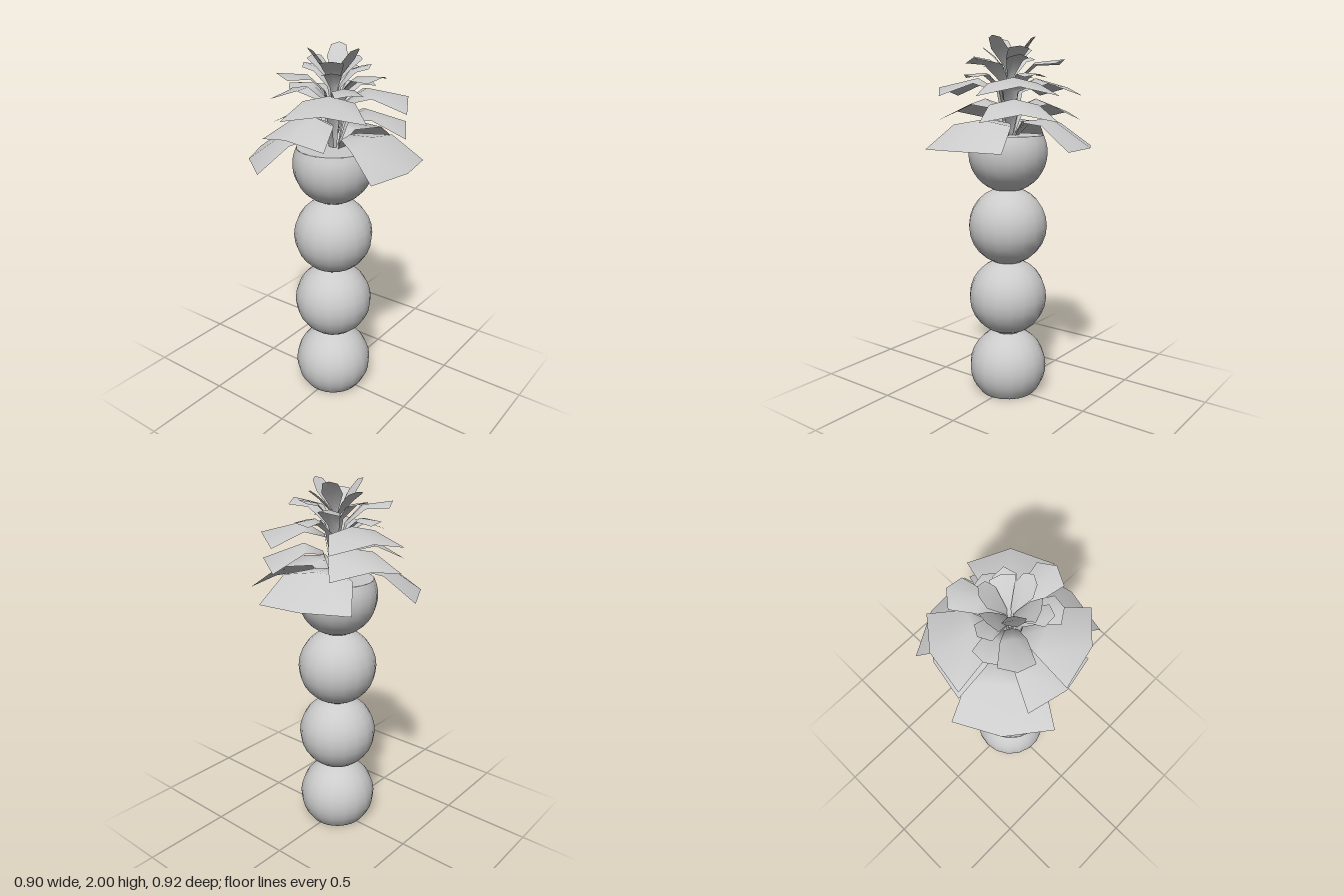
import * as THREE from 'three';

const material = new THREE.MeshStandardMaterial({ color: 0xcccccc, side: THREE.DoubleSide });

// One ball of the trunk, with flat cuts at the heights lo and hi
function ball(y, lo, hi) {
  const R = 0.22;
  const a0 = Math.asin(Math.max(-1, (lo - y) / R));
  const a1 = Math.asin(Math.min(1, (hi - y) / R));
  const profile = [];
  for (let i = 0; i <= 10; i++) {
    const a = a0 + (a1 - a0) * i / 10;
    profile.push(new THREE.Vector2(R * Math.cos(a), y + R * Math.sin(a)));
  }
  return new THREE.LatheGeometry(profile, 18);
}

// Arched leaf pointing to +x; rows are [reach, height, half width, edge drop, edge setback]
function leafGeometry(rows) {
  const pos = [], index = [];
  rows.forEach(([r, y, w, drop = 0, back = 0], i) => {
    pos.push(r - back, y - drop, w, r, y, 0, r - back, y - drop, -w);
    if (i === 0) return;
    const a = 3 * (i - 1), b = 3 * i;
    for (let k = 0; k < 2; k++) {
      index.push(a + k, b + k, b + k + 1, a + k, b + k + 1, a + k + 1);
    }
  });
  const g = new THREE.BufferGeometry();
  g.setAttribute('position', new THREE.Float32BufferAttribute(pos, 3));
  g.setIndex(index);
  g.computeVertexNormals();
  return g;
}

// Tiers from bottom to top: compass angles (0 = +x, 90 = +z) and leaf rows
const tiers = [
  { name: 'skirtLeaf', angles: [90, -17, 230], rows: [
    [0.03, 1.46, 0.02], [0.10, 1.56, 0.08, 0.01], [0.24, 1.57, 0.19, 0.03], [0.455, 1.42, 0.25, 0.005, 0.055]] },
  { name: 'lowerLeaf', angles: [182, 45, -66], rows: [
    [0.02, 1.47, 0.015], [0.07, 1.63, 0.04, 0.01], [0.17, 1.675, 0.13, 0.03], [0.385, 1.60, 0.20, 0.04, 0.05]] },
  { name: 'middleLeaf', angles: [153, 46, -67], rows: [
    [0.02, 1.48, 0.015], [0.06, 1.72, 0.04, 0.01], [0.17, 1.785, 0.13, 0.03], [0.39, 1.735, 0.21, 0.045, 0.055]] },
  { name: 'innerLeaf', angles: [253, 15, 125], rows: [
    [0.02, 1.55, 0.012], [0.05, 1.74, 0.03, 0.01], [0.13, 1.81, 0.06, 0.01], [0.25, 1.80, 0.075, 0.015, 0.03]] },
  { name: 'upperLeaf', angles: [90, -25, 219], rows: [
    [0.015, 1.62, 0.01], [0.05, 1.78, 0.03, 0.01], [0.14, 1.865, 0.06, 0.015], [0.30, 1.88, 0.085, 0.025, 0.04]] },
  { name: 'crownLeaf', angles: [-90, 37, 148], rows: [
    [0.01, 1.66, 0.01], [0.03, 1.80, 0.02, 0.005], [0.10, 1.88, 0.045, 0.01], [0.20, 1.90, 0.055, 0.015, 0.035]] },
  { name: 'topLeaf', angles: [90, -26, 214], rows: [
    [0.005, 1.72, 0.008], [0.02, 1.84, 0.015], [0.085, 1.94, 0.055, 0.005], [0.145, 2.0, 0.04, 0.012, 0.02]] },
  { name: 'budLeaf', angles: [-90, 30, 150], rows: [
    [0.005, 1.72, 0.008], [0.015, 1.82, 0.015], [0.08, 1.90, 0.05, 0.005], [0.14, 1.945, 0.06, 0.01, 0.01]] },
];

export function createModel() {
  const group = new THREE.Group();
  const add = (geometry, name) => {
    const mesh = new THREE.Mesh(geometry, material);
    mesh.name = name;
    group.add(mesh);
    return mesh;
  };

  // Trunk of four stacked balls, flat at the foot and under the leaves
  const centers = [0.15, 0.565, 0.975, 1.385];
  const cuts = [0, 0.357, 0.77, 1.18, 1.48];
  centers.forEach((y, i) => {
    add(ball(y, cuts[i], cuts[i + 1]), 'trunkBall').position.x = -0.01;
  });
  const caps = [[0, 0.161, Math.PI / 2, 'trunkFoot'], [1.48, 0.198, -Math.PI / 2, 'trunkTop']];
  for (const [y, r, turn, name] of caps) {
    const cap = add(new THREE.CircleGeometry(r, 18), name);
    cap.rotation.x = turn;
    cap.position.set(-0.01, y, 0);
  }

  // Leaves, three to a tier
  for (const { name, angles, rows } of tiers) {
    const geometry = leafGeometry(rows);
    for (const a of angles) {
      add(geometry, name).rotation.y = -THREE.MathUtils.degToRad(a);
    }
  }
  return group;
}
